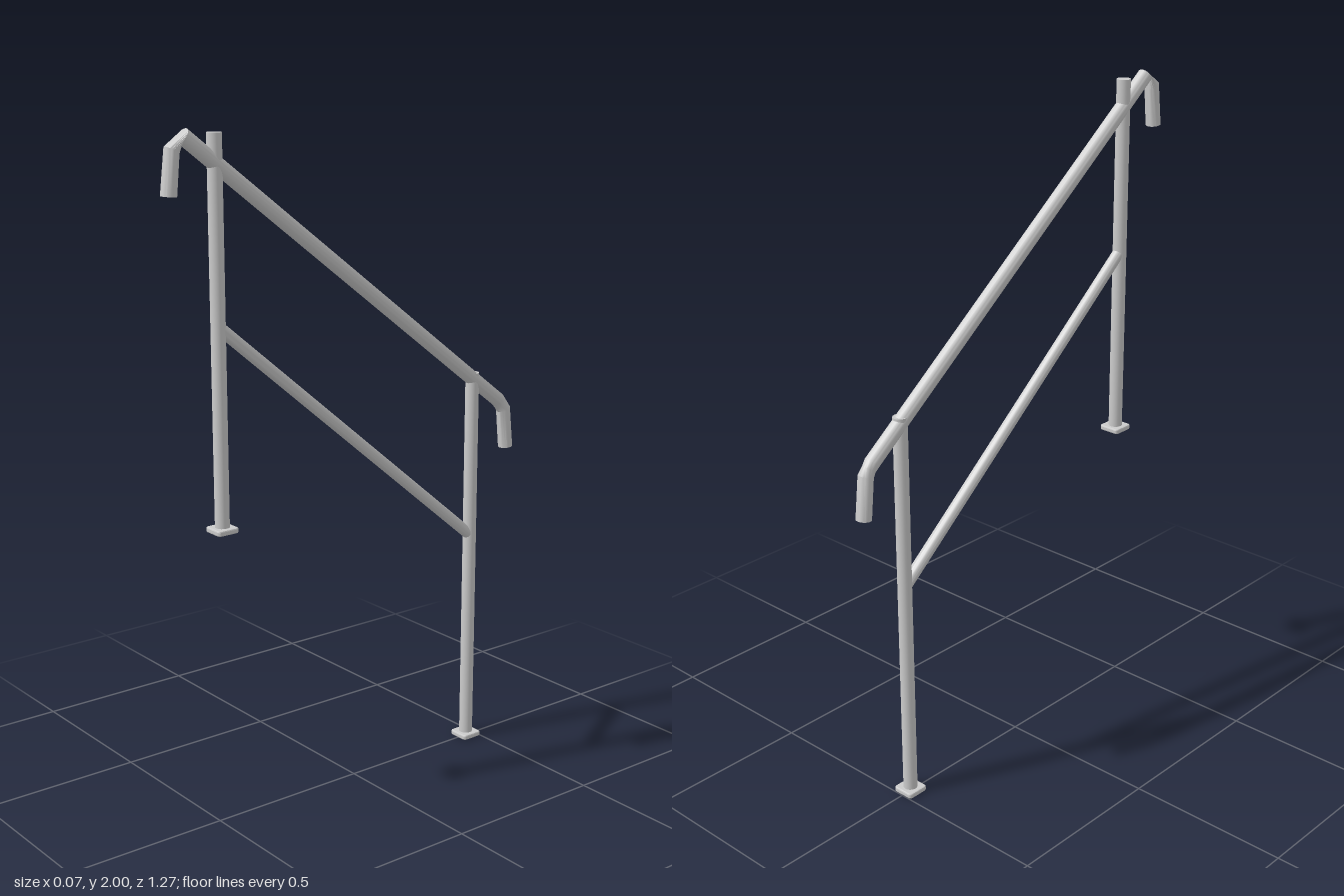
import * as THREE from 'three';
import { toCreasedNormals } from 'three/addons/utils/BufferGeometryUtils.js';

const SIDES = 24;

// Capped pipe lofted through stations [z, y, tilt z, tilt y, width scale] in the x = 0 plane
function pipeGeometry(stations, radius) {
  const positions = [];
  const index = [];
  for (const [z, y, tz, ty, widthScale = 1] of stations) {
    const length = Math.hypot(tz, ty);
    for (let i = 0; i < SIDES; i++) {
      const a = (i / SIDES) * Math.PI * 2;
      const u = Math.cos(a) * radius * widthScale;
      const v = Math.sin(a) * radius;
      positions.push(u, y + (v * tz) / length, z - (v * ty) / length);
    }
  }
  const last = stations.length - 1;
  for (let s = 0; s < last; s++) {
    for (let i = 0; i < SIDES; i++) {
      const a = s * SIDES + i;
      const b = s * SIDES + ((i + 1) % SIDES);
      index.push(a, b, a + SIDES, b, b + SIDES, a + SIDES);
    }
  }
  // End caps
  for (let i = 1; i < SIDES - 1; i++) {
    const e = last * SIDES;
    index.push(0, i + 1, i, e, e + i, e + i + 1);
  }
  const geometry = new THREE.BufferGeometry();
  geometry.setAttribute('position', new THREE.Float32BufferAttribute(positions, 3));
  geometry.setIndex(index);
  return toCreasedNormals(geometry, Math.PI / 6);
}

// Square foot plate with rounded corners and a slight bevel
function plateGeometry(size, height) {
  const bevel = 0.004;
  const h = size / 2 - bevel;
  const r = 0.006;
  const shape = new THREE.Shape();
  shape.absarc(h - r, h - r, r, 0, Math.PI / 2);
  shape.absarc(r - h, h - r, r, Math.PI / 2, Math.PI);
  shape.absarc(r - h, r - h, r, Math.PI, Math.PI * 1.5);
  shape.absarc(h - r, r - h, r, Math.PI * 1.5, Math.PI * 2);
  const geometry = new THREE.ExtrudeGeometry(shape, {
    depth: height - bevel * 2, bevelThickness: bevel, bevelSize: bevel, bevelSegments: 2, curveSegments: 4,
  });
  return geometry.translate(0, 0, bevel).rotateX(-Math.PI / 2);
}

export function createModel() {
  const model = new THREE.Group();
  model.name = 'stairHandrail';
  const material = new THREE.MeshStandardMaterial({ color: 0xcccccc });

  const add = (name, geometry, y = 0, z = 0) => {
    const mesh = new THREE.Mesh(geometry, material);
    mesh.name = name;
    mesh.position.set(0, y, z);
    model.add(mesh);
  };

  // Posts on their foot plates
  for (const [name, z, bottom, top] of [['upper', 0.47, 0.88, 1.985], ['lower', -0.465, 0, 1.21]]) {
    add(name + 'Post', new THREE.CylinderGeometry(0.021, 0.021, top - bottom, SIDES), (top + bottom) / 2, z);
    add(name + 'FootPlate', plateGeometry(0.07, 0.016), bottom, z);
  }

  // Sloping handrail with a downturned grip at each end
  add('handrail', pipeGeometry([
    [0.616, 1.826, -0.1, 0.99],
    [0.603, 1.945, -0.45, 0.85],
    [0.57, 1.981, -0.8, -0.6],
    [-0.574, 1.108, -0.75, -0.66],
    [-0.586, 1.093, -0.6, -0.8, 0.8],
    [-0.598, 1.076, -0.35, -0.93],
    [-0.611, 0.952, -0.1, -0.99],
  ], 0.0225));

  // Thinner middle rail between the posts
  add('middleRail', pipeGeometry([
    [0.463, 1.458, -0.921, -0.765],
    [-0.458, 0.693, -0.921, -0.765],
  ], 0.018));

  return model;
}
